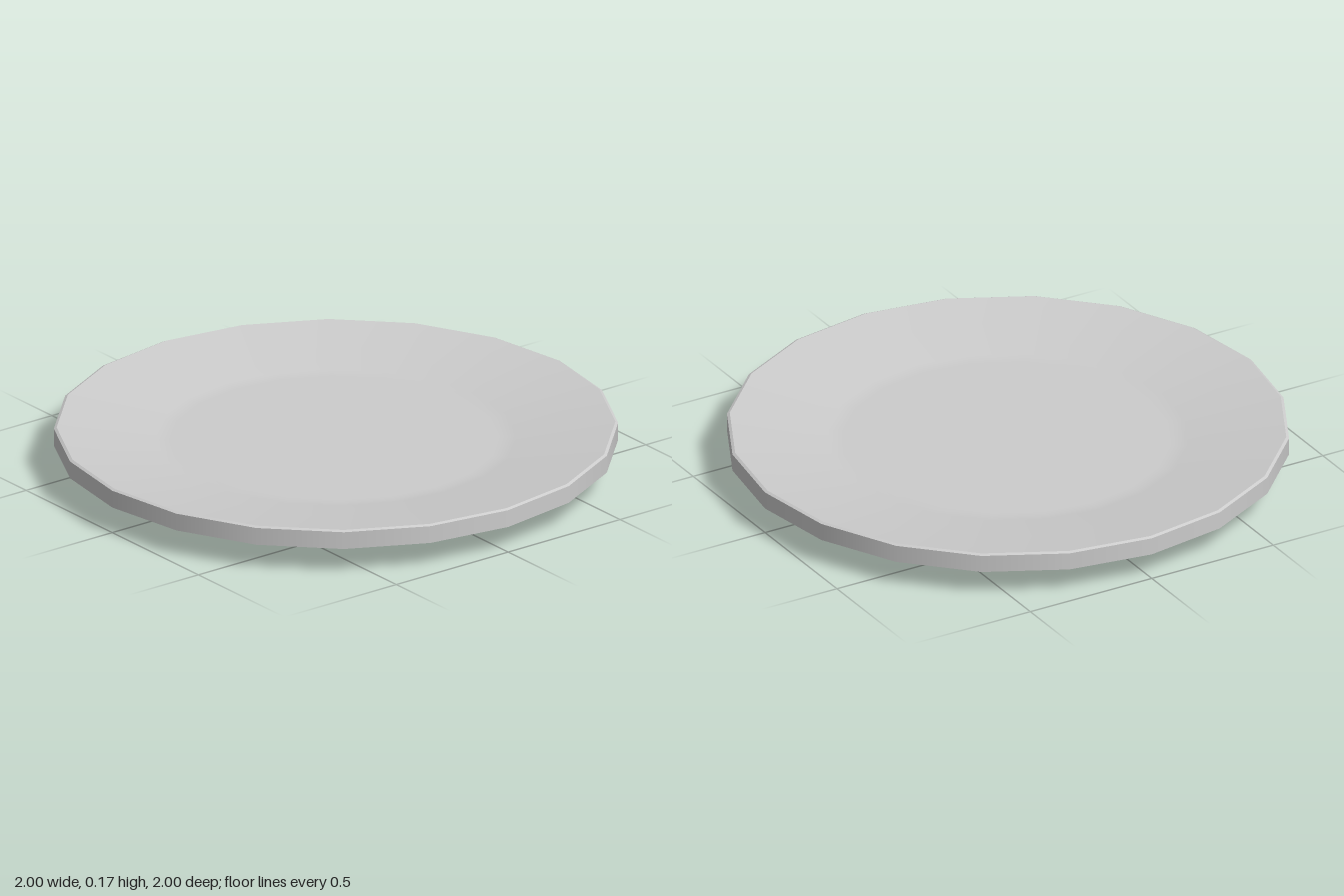
import * as THREE from 'three';

const SIDES = 20;
const material = new THREE.MeshStandardMaterial({ color: 0xcccccc });

// One smooth turned band; separate bands meet at a sharp edge.
function band(name, points) {
  const profile = points.map(([r, y]) => new THREE.Vector2(r, y));
  const mesh = new THREE.Mesh(new THREE.LatheGeometry(profile, SIDES), material);
  mesh.name = name;
  return mesh;
}

// A run of bands with a sharp edge at every profile point.
function sharpBands(name, points) {
  const group = new THREE.Group();
  group.name = name;
  for (let i = 1; i < points.length; i++) {
    group.add(band(name + i, [points[i - 1], points[i]]));
  }
  return group;
}

export function createModel() {
  const plate = new THREE.Group();
  plate.name = 'plate';

  // Recessed base and raised foot ring
  plate.add(band('base', [[0, 0.02], [0.595, 0.02]]));
  plate.add(sharpBands('footRing', [
    [0.595, 0.02], [0.6, 0.004], [0.605, 0], [0.64, 0], [0.65, 0.007], [0.65, 0.028],
  ]));

  // Sloping underside
  plate.add(band('underside', [[0.65, 0.028], [0.985, 0.09]]));

  // Upright rim with narrow chamfers
  plate.add(sharpBands('rim', [
    [0.985, 0.09], [1, 0.096], [1, 0.16], [0.99, 0.165],
  ]));

  // Sloping upper surface, blending softly into the flat well
  plate.add(band('upperSurface', [
    [0.99, 0.165], [0.64, 0.115], [0.61, 0.112], [0.58, 0.111], [0, 0.111],
  ]));

  return plate;
}
